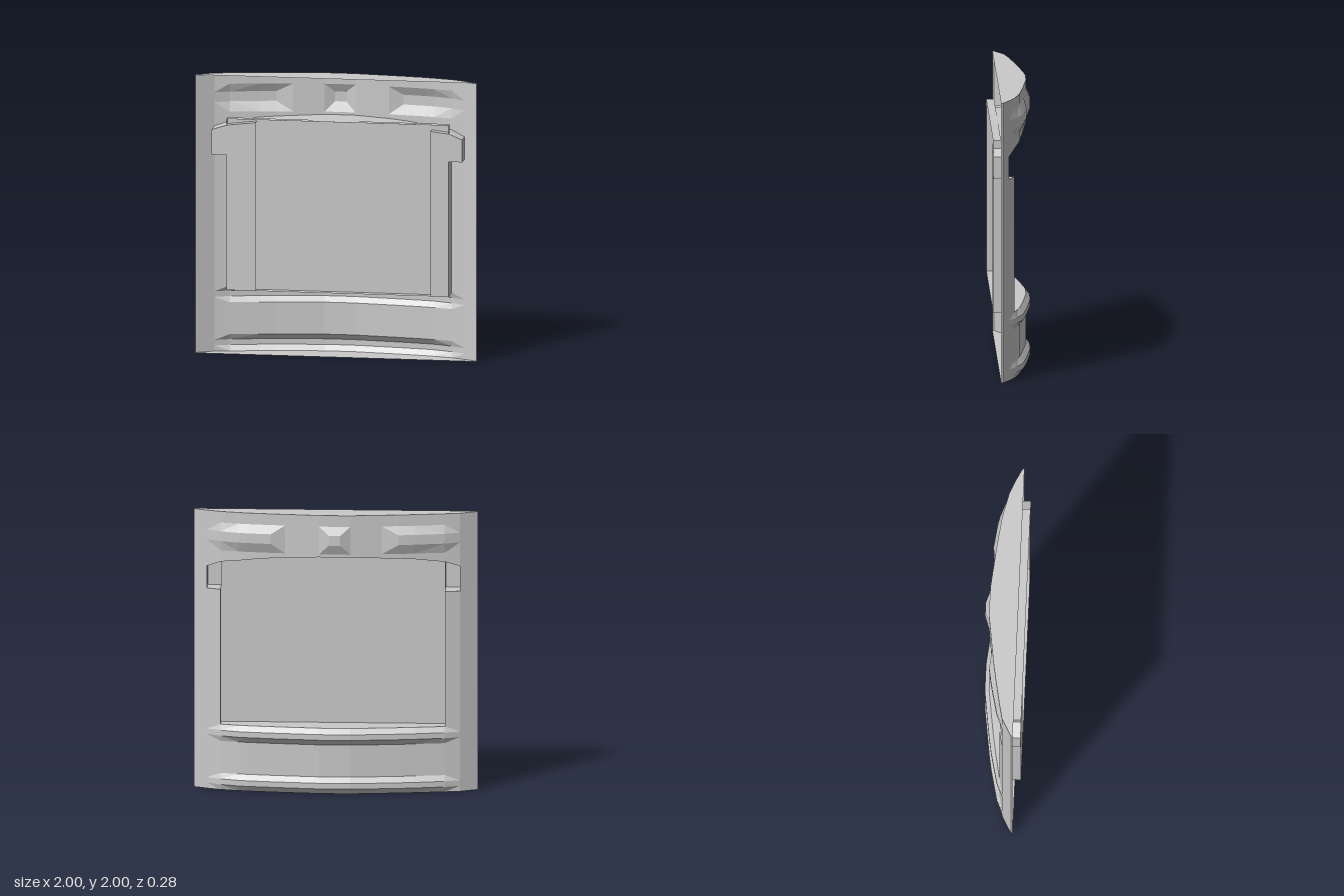
import * as THREE from 'three';

const RIM = 0.09, FLOOR = 0.085, FRONT = 0.14;

// Plan curve of the bowed shell: [x, z]
const plan = [[-1, 0.077], [-0.875, 0.01], [-0.77, -0.012], [-0.56, -0.05], [-0.45, -0.068], [-0.33, -0.084],
  [-0.11, -0.112], [-0.04, -0.113], [0.04, -0.113], [0.11, -0.112], [0.35, -0.087], [0.45, -0.076],
  [0.62, -0.053], [0.68, -0.041], [0.808, -0.01], [0.905, 0.03], [1, 0.077]];
// Arched top edge of the opening, one height per plan point
const arch = [1.6, 1.62, 1.655, 1.68, 1.686, 1.691, 1.7, 1.7, 1.7, 1.7, 1.69, 1.682, 1.665, 1.655, 1.64, 1.6, 1.6];
// Row heights; the null row follows the arch
const rows = [0, 0.04, 0.08, 0.12, 0.35, 0.39, 0.43, 0.47, 1.44, null, 1.72, 1.79, 1.86, 1.92, 2];
const ridgeRows = [1, 2, 5, 6], bumpRows = [11, 12];

// Height of the pressed ridges and bumps, fading toward the sides
function raised(i, j) {
  const x = plan[i][0], ridge = ridgeRows.includes(j);
  if (!ridge && !bumpRows.includes(j)) return 0;
  if (Math.abs(x) > 0.85) return 0;
  if (Math.abs(x) > 0.7) return x < 0 ? 0.022 : 0.016;
  return ridge || Math.abs(x) < 0.05 || Math.abs(x) > 0.44 ? 0.03 : 0;
}

function point(i, j) {
  const [x, z] = plan[i];
  return [x, rows[j] ?? arch[i], z - raised(i, j)];
}

function facets(name, list, material) {
  const g = new THREE.BufferGeometry();
  g.setAttribute('position', new THREE.Float32BufferAttribute(list.flat(2), 3));
  g.computeVertexNormals();
  const mesh = new THREE.Mesh(g, material);
  mesh.name = name;
  return mesh;
}

const quad = (a, b, c, d) => [a, b, c, a, c, d];

export function createModel() {
  const group = new THREE.Group();
  group.name = 'curvedPanel';
  const grey = new THREE.MeshStandardMaterial({ color: 0xcacaca, side: THREE.DoubleSide, flatShading: true });
  grey.name = 'grey';
  const last = plan.length - 1;

  // Bowed shell with pressed ridges and bumps, leaving the opening free
  const shell = [];
  for (let i = 0; i < last; i++) {
    for (let j = 0; j < rows.length - 1; j++) {
      const inMain = i >= 2 && i < 14, inTab = i >= 1 && i < 15;
      if ((j === 7 && inMain) || (j === 8 && inTab)) continue;
      const a = point(i, j), b = point(i, j + 1), c = point(i + 1, j + 1), d = point(i + 1, j);
      const ac = raised(i, j) + raised(i + 1, j + 1);
      const bd = raised(i, j + 1) + raised(i + 1, j);
      // Outer ends are chamfered, inner ends are mitred
      const outer = Math.abs(plan[i][0] + plan[i + 1][0]) > 1.31;
      shell.push((outer ? bd < ac : bd > ac) ? quad(b, c, d, a) : quad(a, b, c, d));
    }
  }
  group.add(facets('shell', shell, grey));

  // Flat top and bottom ends
  for (const [name, y] of [['topEnd', 2], ['bottomEnd', 0]]) {
    const cap = [];
    for (let i = 0; i < last; i++) {
      const [x0, z0] = plan[i], [x1, z1] = plan[i + 1];
      const q = quad([x0, y, z0], [x0, y, RIM], [x1, y, RIM], [x1, y, z1]);
      cap.push(y ? q : q.reverse());
    }
    group.add(facets(name, cap, grey));
  }

  // Narrow side rims
  for (const [name, x] of [['rightRim', -1], ['leftRim', 1]]) {
    const q = quad([x, 0, 0.077], [x, 0, RIM], [x, 2, RIM], [x, 2, 0.077]);
    group.add(facets(name, x < 0 ? q : q.reverse(), grey));
  }

  // Pocket walls follow the outline of the opening; the middle of the roof stops at the floor
  const outline = [];
  for (let i = 2; i <= 14; i++) outline.push(point(i, 7));
  outline.push(point(14, 8), point(15, 8));
  for (let i = 15; i >= 1; i--) outline.push(point(i, 9));
  outline.push(point(1, 8), point(2, 8));
  const walls = outline.map((p, k) => {
    const q = outline[(k + 1) % outline.length];
    const mid = (p[0] + q[0]) / 2;
    const depth = p[1] > 1.5 && mid > -0.56 && mid < 0.68 ? FLOOR : FRONT;
    return quad(p, q, [q[0], q[1], depth], [p[0], p[1], depth]);
  });
  group.add(facets('pocketWalls', walls, grey));

  // Front strips with the notch floors, one at each side
  const strips = {
    rightStrip: [[-0.56, 0.47], [-0.56, 1.68], [-0.77, 1.655], [-0.875, 1.62], [-0.875, 1.44], [-0.77, 1.44], [-0.77, 0.47]],
    leftStrip: [[0.68, 0.47], [0.808, 0.47], [0.808, 1.44], [0.905, 1.44], [0.905, 1.6], [0.808, 1.64], [0.68, 1.655]],
  };
  for (const [name, pts] of Object.entries(strips)) {
    const shape = new THREE.Shape(pts.map(([x, y]) => new THREE.Vector2(x, y)));
    const strip = new THREE.Mesh(new THREE.ShapeGeometry(shape), grey);
    strip.name = name;
    strip.position.z = FRONT;
    group.add(strip);
  }

  // Tray closing the pocket: a floor with a lip all round, open to the front
  const corners = [[-0.77, 0.47], [0.808, 0.47], [0.808, 1.7], [-0.77, 1.7]];
  const tray = quad(...corners.map(([x, y]) => [x, y, FLOOR]));
  corners.forEach(([x, y], k) => {
    const [u, v] = corners[(k + 1) % 4];
    tray.push(...quad([x, y, FLOOR], [u, v, FLOOR], [u, v, FRONT], [x, y, FRONT]));
  });
  group.add(facets('pocketTray', tray, grey));
  return group;
}
